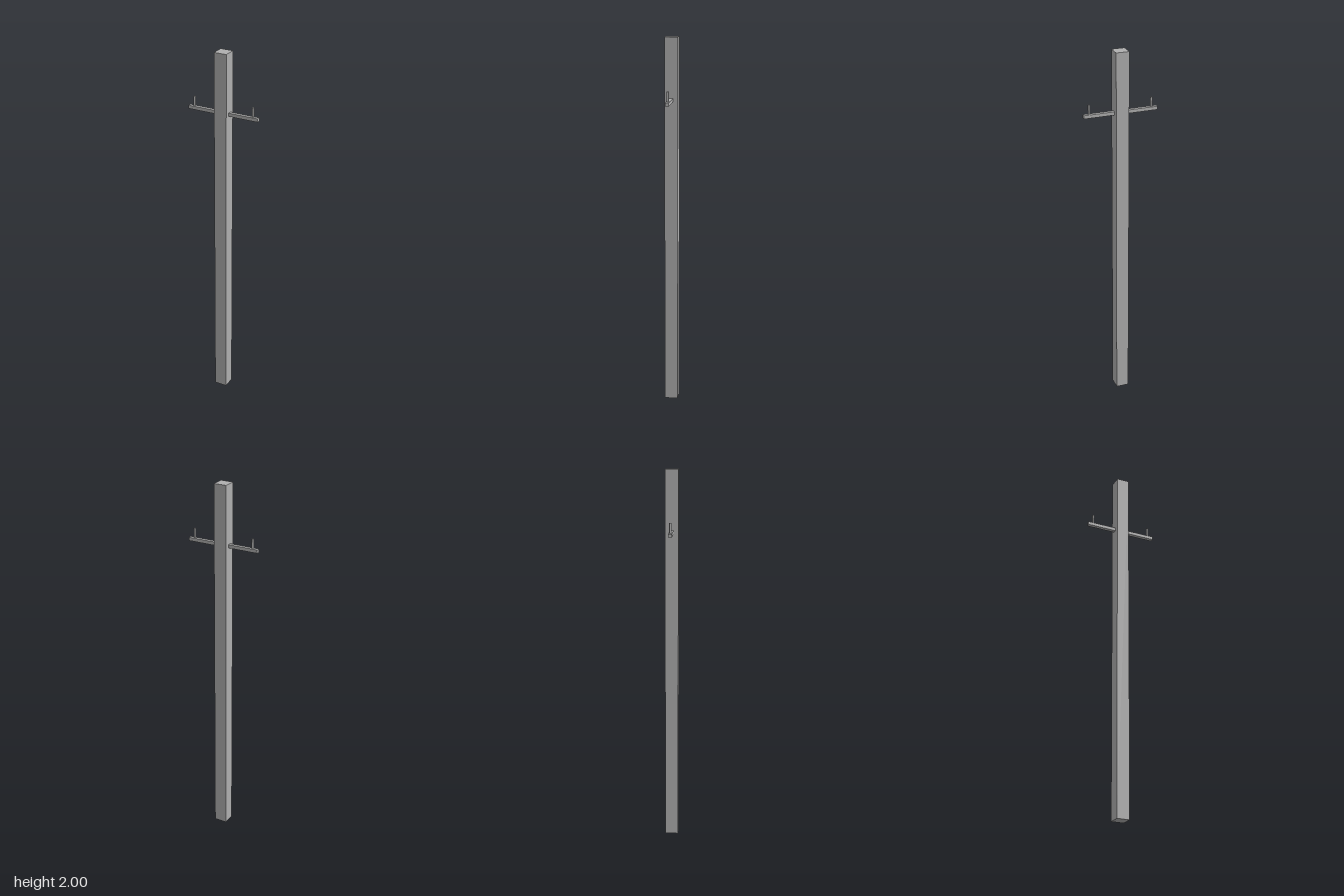
import * as THREE from 'three';

export function createModel() {
  const model = new THREE.Group();
  model.name = 'utilityPole';
  const grey = new THREE.MeshStandardMaterial({ color: 0xb0b0b0 });
  grey.name = 'grey';

  const add = (name, geometry, x, y) => {
    const mesh = new THREE.Mesh(geometry, grey);
    mesh.name = name;
    mesh.position.set(x, y, 0);
    model.add(mesh);
  };

  // Square upright post
  add('post', new THREE.BoxGeometry(0.07, 2, 0.07), 0, 1);

  // Crossarm passing through the post
  add('crossarm', new THREE.BoxGeometry(0.4, 0.018, 0.02), 0, 1.675);

  // Upright pin near each end of the crossarm
  for (const [side, s] of [['left', 1], ['right', -1]]) {
    add(side + 'Pin', new THREE.CylinderGeometry(0.006, 0.006, 0.054, 24), s * 0.169, 1.709);
  }
  return model;
}
